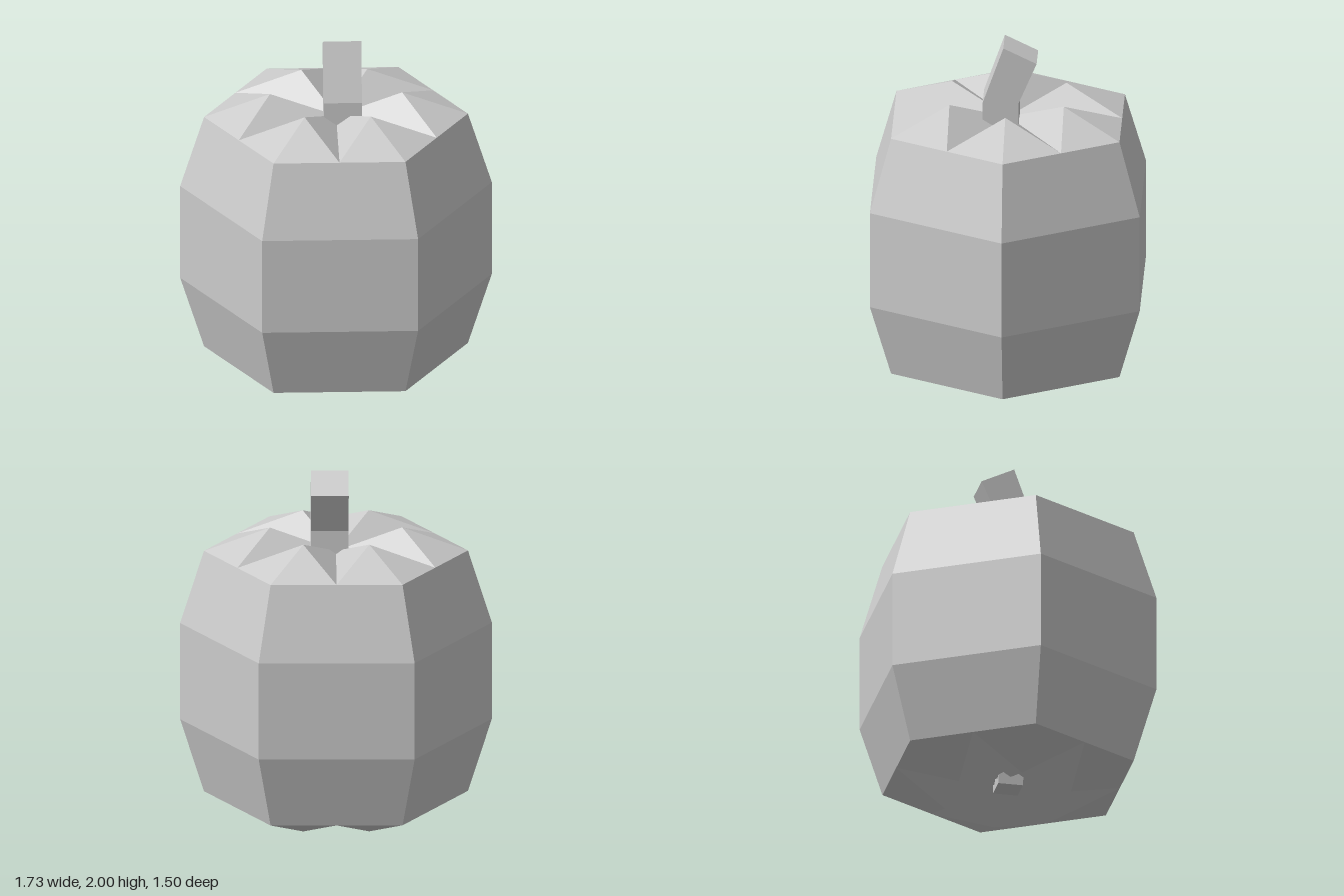
import * as THREE from 'three';

const grey = () => new THREE.MeshStandardMaterial({ color: 0xcccccc, flatShading: true });

// Mesh from a list of triangles, each of three [x, y, z] corners
function faceted(name, tris) {
  const geo = new THREE.BufferGeometry();
  geo.setAttribute('position', new THREE.Float32BufferAttribute(tris.flat(2), 3));
  geo.computeVertexNormals();
  const mesh = new THREE.Mesh(geo, grey());
  mesh.name = name;
  return mesh;
}

// Side walls between stacked rings (corners counterclockwise from above, lowest ring first)
function walls(rings) {
  const tris = [];
  for (let r = 0; r < rings.length - 1; r++) {
    const lo = rings[r], hi = rings[r + 1], n = lo.length;
    for (let i = 0; i < n; i++) {
      const j = (i + 1) % n;
      tris.push([lo[i], lo[j], hi[j]], [lo[i], hi[j], hi[i]]);
    }
  }
  return tris;
}

const polar = (radius, deg, y) => {
  const a = THREE.MathUtils.degToRad(deg);
  return [radius * Math.cos(a), y, -radius * Math.sin(a)];
};

// Six-lobed cap: a raised peak per corner, valleys running to the centre
function lobedCap(rimY, peakY) {
  const tris = [], centre = [0, rimY, 0];
  for (let k = 0; k < 6; k++) {
    const a = k * 60;
    const peak = polar(0.367, a, peakY), corner = polar(0.733, a, rimY);
    const next = polar(0.635, a + 30, rimY), prev = polar(0.635, a - 30, rimY);
    tris.push([peak, corner, next], [peak, prev, corner], [peak, next, centre], [peak, centre, prev]);
  }
  return peakY > rimY ? tris : tris.map(([a, b, c]) => [a, c, b]);
}

// Four-cornered ring; front and back edges may sit at different heights
const square = (x0, x1, zBack, zFront, yBack, yFront = yBack) => [
  [x0, yFront, zFront], [x1, yFront, zFront], [x1, yBack, zBack], [x0, yBack, zBack],
];

export function createModel() {
  const group = new THREE.Group();
  group.name = 'pumpkin';

  // Hexagonal barrel body
  const rings = [[0.733, 0.14], [0.866, 0.56], [0.866, 1.12], [0.733, 1.54]].map(([r, y]) =>
    Array.from({ length: 6 }, (_, k) => polar(r, k * 60, y)));
  group.add(faceted('body', walls(rings)));

  // Lobed top and bottom
  group.add(faceted('topLobes', lobedCap(1.54, 1.675)));
  group.add(faceted('bottomLobes', lobedCap(0.14, 0.005)));

  // Bent stem running through the core, its foot showing underneath
  const stem = [
    square(-0.07, 0.07, -0.07, 0.07, 0.07),
    square(-0.07, 0.14, -0.065, 0.135, 1.4),
    square(-0.07, 0.14, -0.065, 0.135, 1.675),
    square(-0.07, 0.14, -0.165, 0.02, 1.91, 2),
  ];
  const foot = stem[0], tip = stem[3];
  group.add(faceted('stem', [
    ...walls(stem),
    [foot[0], foot[2], foot[1]], [foot[0], foot[3], foot[2]],
    [tip[0], tip[1], tip[2]], [tip[0], tip[2], tip[3]],
  ]));
  return group;
}
